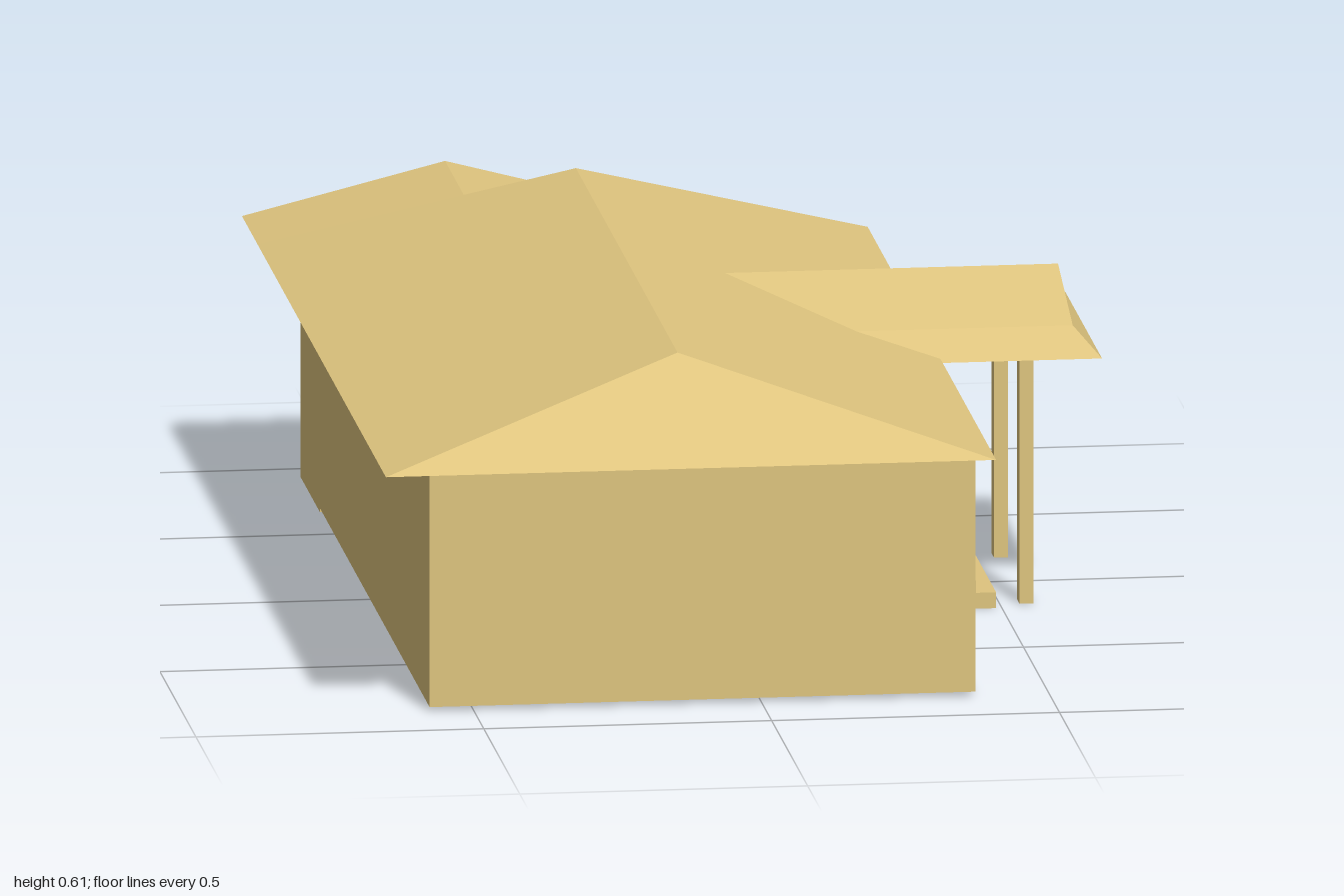
import * as THREE from 'three';
import { ConvexGeometry } from 'three/addons/geometries/ConvexGeometry.js';

export function createModel() {
  const house = new THREE.Group();
  house.name = 'house';
  const material = new THREE.MeshStandardMaterial({ color: 0xdec47e, flatShading: true });

  const add = (name, geometry) => {
    const mesh = new THREE.Mesh(geometry, material);
    mesh.name = name;
    house.add(mesh);
    return mesh;
  };
  // Box given by its extents on each axis
  const box = (name, [x0, x1], [y0, y1], [z0, z1]) => {
    const mesh = add(name, new THREE.BoxGeometry(x1 - x0, y1 - y0, z1 - z0));
    mesh.position.set((x0 + x1) / 2, (y0 + y1) / 2, (z0 + z1) / 2);
  };
  // Faceted solid spanned by its corner points
  const solid = (name, corners) =>
    add(name, new ConvexGeometry(corners.map((c) => new THREE.Vector3(...c))));
  // Four corners of a level rectangle
  const level = (y, x0, x1, z0, z1) => [[x0, y, z0], [x1, y, z0], [x1, y, z1], [x0, y, z1]];

  const eave = 0.45;

  // Main walls: L-shaped plan with the entrance side set back
  const plan = new THREE.Shape(
    [[-0.576, 0.855], [0.372, 0.855], [0.372, 0.705], [0.285, 0.705], [0.285, -0.67], [-0.576, -0.67]]
      .map(([x, z]) => new THREE.Vector2(x, -z)));
  const walls = new THREE.ExtrudeGeometry(plan, { depth: eave - 0.007, bevelEnabled: false });
  walls.rotateX(-Math.PI / 2).translate(0, 0.007, 0);
  add('mainWalls', walls);
  box('rearWingWalls', [-0.576, -0.065], [0, eave], [-0.937, -0.67]);

  // Hipped roofs with flat soffits
  solid('mainRoof', [
    ...level(eave, -0.67, 0.39, -0.785, 1),
    [-0.14, 0.612, 0.812], [-0.14, 0.612, -0.6]]);
  solid('rearWingRoof', [
    ...level(eave, -0.67, 0.012, -1, -0.785),
    [-0.325, 0.552, -0.938], [-0.325, 0.552, -0.67]]);

  // Portico roof: steep skirt below a shallow gable
  const mid = 0.493;
  solid('porticoSkirt', [
    ...level(0.444, 0.385, 0.67, -0.272, 0.232),
    ...level(mid, 0.248, 0.625, -0.224, 0.184)]);
  solid('porticoGable', [
    ...level(mid, 0.248, 0.625, -0.224, 0.184),
    [0.042, 0.555, -0.02], [0.625, 0.555, -0.02]]);
  for (const z of [0.155, -0.198]) {
    box('porticoPost', [0.534, 0.558], [0, 0.446], [z - 0.017, z + 0.017]);
  }

  // Entrance steps and the low planters beside them
  box('porchLanding', [0.28, 0.455], [0, 0.05], [-0.24, 0.2]);
  box('porchStep', [0.28, 0.49], [0, 0.028], [-0.24, 0.2]);
  box('longPlanter', [0.28, 0.352], [0.01, 0.068], [0.2, 0.705]);
  box('shortPlanter', [0.28, 0.352], [0.003, 0.062], [-0.37, -0.24]);

  return house;
}
